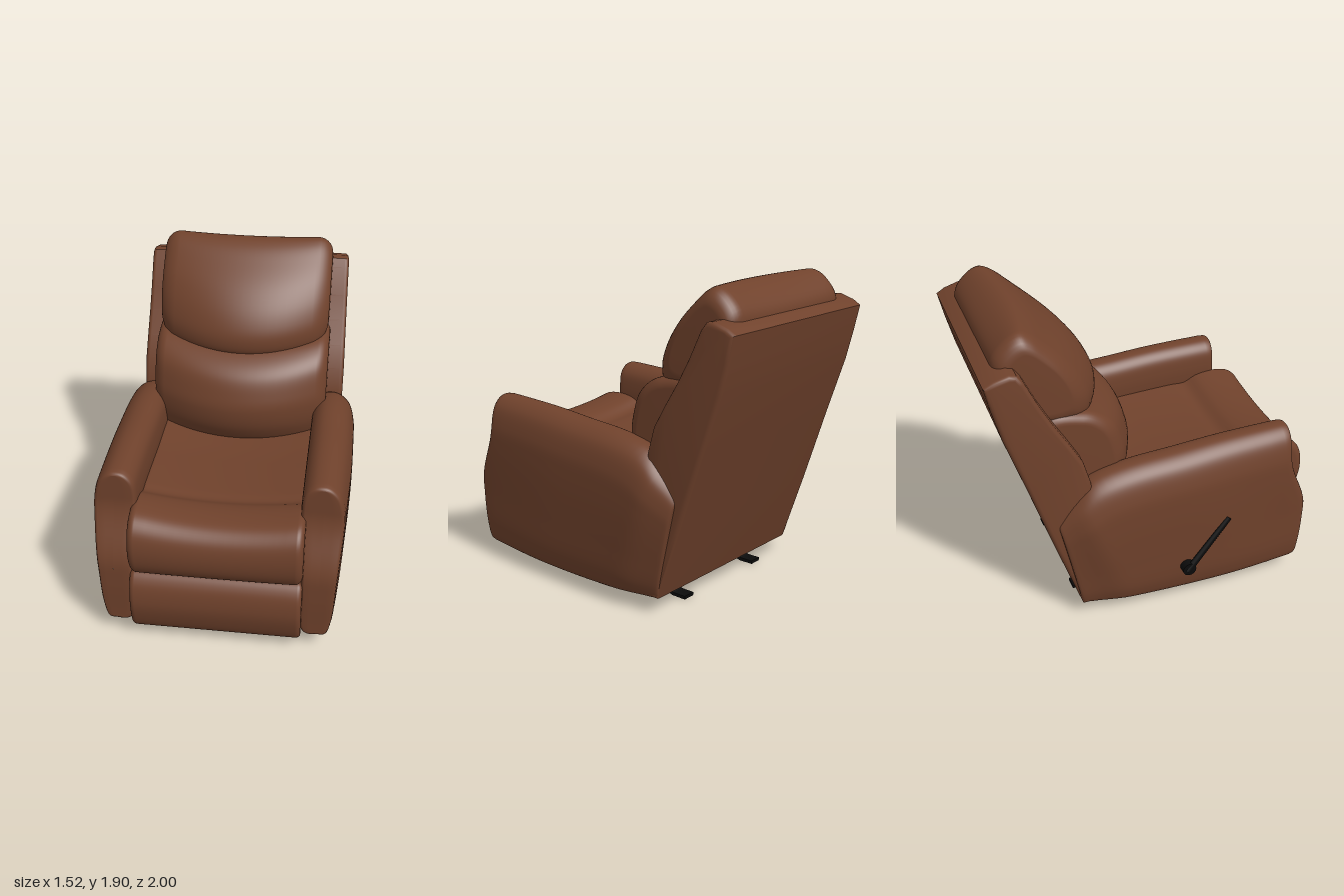
import * as THREE from 'three';
import { toCreasedNormals } from 'three/addons/utils/BufferGeometryUtils.js';

const CX = 0.015; // upholstery centre, the lever sticks out on one side

const spline = (pts, closed, n) =>
  new THREE.CatmullRomCurve3(pts.map(([a, b]) => new THREE.Vector3(a, b, 0)), closed, 'centripetal').getPoints(n);

// Closed skin through rings of points, ends capped unless already collapsed, faces turned outward
function loft(rings, capped = true) {
  const n = rings[0].length, pos = [], idx = [];
  rings.forEach(r => r.forEach(p => pos.push(p.x, p.y, p.z)));
  for (let i = 0; i < rings.length - 1; i++)
    for (let j = 0; j < n; j++) {
      const a = i * n + j, b = i * n + (j + 1) % n;
      idx.push(a, b, b + n, a, b + n, a + n);
    }
  if (capped) [0, rings.length - 1].forEach((k, end) => {
    const c = rings[k].reduce((s, p) => s.add(p), new THREE.Vector3()).divideScalar(n);
    const ci = pos.length / 3;
    pos.push(c.x, c.y, c.z);
    for (let j = 0; j < n; j++) {
      const a = k * n + j, b = k * n + (j + 1) % n;
      end ? idx.push(a, b, ci) : idx.push(b, a, ci);
    }
  });
  const v = i => new THREE.Vector3(pos[3 * i], pos[3 * i + 1], pos[3 * i + 2]);
  let volume = 0;
  for (let i = 0; i < idx.length; i += 3) volume += v(idx[i]).dot(v(idx[i + 1]).cross(v(idx[i + 2])));
  if (volume < 0) idx.reverse();
  const g = new THREE.BufferGeometry();
  g.setAttribute('position', new THREE.Float32BufferAttribute(pos, 3));
  g.setIndex(idx);
  g.computeVertexNormals();
  return g;
}

// Cushion: a (z, y) profile swept across x, bowed toward zBack at the sides
function cushion(profile, half, r, { bow = 0, zBack = 0, liftLow = 0, liftHigh = 0 }) {
  const pts = spline(profile, true, 72).slice(0, -1);
  const zs = pts.map(p => p.x), ys = pts.map(p => p.y);
  const z0 = Math.min(...zs), z1 = Math.max(...zs), y0 = Math.min(...ys), y1 = Math.max(...ys);
  const zm = (z0 + z1) / 2, ym = (y0 + y1) / 2;
  const stations = [];
  for (let i = 0; i <= 7; i++) {
    const a = (Math.PI / 2) * (1 - i / 7);
    stations.push([-(half - r + r * Math.sin(a)), r * (1 - Math.cos(a))]);
  }
  for (let i = 1; i < 16; i++) stations.push([(half - r) * (i / 8 - 1), 0]);
  for (let i = 7; i >= 0; i--) stations.push([-stations[i][0], stations[i][1]]);
  return loft(stations.map(([x, inset]) => {
    const u2 = (x / half) ** 2, sz = 1 - 2 * inset / (z1 - z0), sy = 1 - 2 * inset / (y1 - y0);
    return pts.map(p => {
      const z = zm + (p.x - zm) * sz, y = ym + (p.y - ym) * sy;
      const lift = THREE.MathUtils.lerp(liftLow, liftHigh, (p.y - y0) / (y1 - y0));
      return new THREE.Vector3(x + CX, y + lift * u2, zBack + (z - zBack) * (1 - bow * u2));
    });
  }));
}

// Arm: rounded (x, height) section running from the front to the back
function armGeometry(side) {
  const { smoothstep } = THREE.MathUtils;
  const section = spline([[0.5, 0.03], [0.49, 0.3], [0.485, 0.6], [0.468, 0.84], [0.485, 0.945], [0.54, 0.996],
    [0.622, 0.996], [0.695, 0.94], [0.735, 0.82], [0.742, 0.68], [0.728, 0.35], [0.705, 0.1], [0.67, 0.01],
    [0.6, 0], [0.53, 0]], true, 128).slice(0, -1);
  const top = new THREE.SplineCurve([[0.8, 1.09], [0.4, 1.075], [0.1, 1.05], [-0.2, 1.025], [-0.42, 0.972],
    [-0.54, 0.865], [-0.64, 0.74]].map(p => new THREE.Vector2(...p)));
  // Each station: position along the arm, height inset, width factor
  const ends = [[0, 0.03, 0], [0, 0.03, 0.45], [0, 0.028, 0.82], [0.004, 0.016, 0.91], [0.012, 0.006, 0.97], [0.03, 0, 1]];
  const stations = [...ends];
  for (let i = 1; i < 24; i++) stations.push([0.03 + 0.94 * i / 24, 0, 1]);
  [...ends].reverse().forEach(([t, d, w]) => stations.push([1 - t, d * 0.6, w]));
  return loft(stations.map(([t, inset, width]) => {
    const tp = top.getPoint(t), zb = 0.92 - 1.42 * t, yb = 0.1 - 0.027 * Math.sin(Math.PI * t);
    return section.map(p => {
      const v = 0.5 + (p.y - 0.5) * (1 - 1.4 * inset);
      let x = 0.595 + (p.x - 0.595) * width;
      // Outer side narrows toward the front, most of all low down, and toward the back
      const frontWidth = 0.7 + 0.14 * smoothstep(v, 0.35, 0.85);
      const outer = t < 0.4 ? frontWidth + (1 - frontWidth) * Math.sin(t / 0.4 * Math.PI / 2)
        : 1 - 0.42 * smoothstep(t, 0.78, 1);
      if (x > 0.595) x = 0.595 + (x - 0.595) * outer;
      // S-shaped front: upright above, stepping forward below
      const front = 0.805 + 0.125 * (1 - smoothstep(v, 0.4, 0.82)) - 0.01 * (1 - smoothstep(v, 0, 0.3));
      const step = (front - (0.92 - 0.12 * v)) * Math.max(0, 1 - 4 * t);
      return new THREE.Vector3(CX + side * x, yb + (tp.y - yb) * v, zb + (tp.x - zb) * v + step);
    });
  }), false);
}

// Bevelled extrusion of a (z, y) outline across x, optionally widening toward the front
function slab(outline, width, bevel, flare = 0) {
  const shape = new THREE.Shape(outline.map(p => new THREE.Vector2(...p)));
  const g = new THREE.ExtrudeGeometry(shape, { depth: width - 2 * bevel, bevelEnabled: bevel > 0,
    bevelThickness: bevel, bevelSize: bevel, bevelOffset: -bevel, bevelSegments: 4 });
  g.translate(0, 0, bevel - width / 2).rotateY(-Math.PI / 2);
  const p = g.attributes.position;
  for (let i = 0; i < p.count; i++)
    p.setX(i, p.getX(i) * (1 + flare * THREE.MathUtils.clamp(p.getZ(i) + 1, 0, 0.5)));
  return toCreasedNormals(g, 0.7);
}

export function createModel() {
  const leather = new THREE.MeshStandardMaterial({ color: 0x70422c });
  leather.name = 'brown leather';
  const metal = new THREE.MeshStandardMaterial({ color: 0x0b0b0b });
  metal.name = 'black metal';
  const model = new THREE.Group();
  model.name = 'recliner';
  const add = (name, geometry, material, x = 0, y = 0, z = 0) => {
    const m = new THREE.Mesh(geometry, material);
    m.name = name;
    m.position.set(x, y, z);
    model.add(m);
    return m;
  };

  // Arms
  add('leftArm', armGeometry(1), leather);
  add('rightArm', armGeometry(-1), leather);

  // Back shell with side wings
  add('backShell', slab([[-0.5, 0.1], [-0.652, 0.545], [-0.8, 1.0], [-0.918, 1.35], [-0.965, 1.53], [-1, 1.685],
    [-0.95, 1.715], [-0.86, 1.742], [-0.82, 1.735], [-0.785, 1.69], [-0.71, 1.53], [-0.635, 1.39], [-0.55, 1.25],
    [-0.475, 1.12], [-0.435, 0.98], [-0.4, 0.75], [-0.42, 0.1]], 1.262, 0.025, 0.06), leather, CX);

  // Back cushions
  add('headCushion', cushion([[-0.255, 1.305], [-0.238, 1.4], [-0.285, 1.525], [-0.39, 1.665], [-0.53, 1.79],
    [-0.64, 1.87], [-0.72, 1.895], [-0.82, 1.855], [-0.915, 1.75], [-0.9, 1.6], [-0.75, 1.33], [-0.5, 1.27],
    [-0.33, 1.275]], 0.535, 0.1, { bow: 0.29, zBack: -0.92, liftLow: 0.045 }), leather);
  add('lumbarCushion', cushion([[-0.04, 1.0], [-0.06, 1.1], [-0.11, 1.21], [-0.2, 1.285], [-0.34, 1.335],
    [-0.65, 1.32], [-0.6, 0.68], [-0.2, 0.69], [-0.07, 0.85]], 0.548, 0.07,
    { bow: 0.25, zBack: -0.75, liftHigh: 0.04 }), leather);

  // Seat with front roll, dropping behind a soft crease
  add('seatCushion', cushion([[0.92, 0.485], [0.98, 0.55], [1, 0.66], [0.975, 0.765], [0.91, 0.825], [0.8, 0.843],
    [0.68, 0.83], [0.59, 0.79], [0.5, 0.79], [0.1, 0.77], [-0.4, 0.73], [-0.4, 0.55], [0.4, 0.5]],
    0.5, 0.045, { liftHigh: 0.05 }), leather);

  // Closed footrest panel and underside
  add('footrest', cushion([[0.92, 0.49], [0.975, 0.43], [1, 0.31], [0.985, 0.2], [0.945, 0.1], [0.9, 0.067],
    [0.85, 0.11], [0.83, 0.3], [0.85, 0.47]], 0.5, 0.03, {}), leather);
  add('seatBase', new THREE.BoxGeometry(1, 0.4, 1.3), leather, CX, 0.4, 0.2);

  // Base frame: two rails with bent feet, joined by cross bars
  const foot = [[0, 0], [0.085, 0], [0.112, 0.015], [0.13, 0.05], [0.14, 0.1], [0.165, 0.1], [0.15, 0.04],
    [0.125, -0.01], [0.095, -0.02], [0, -0.02]];
  for (const side of [1, -1]) {
    const x = CX + side * 0.338;
    add('baseRail', new THREE.BoxGeometry(0.05, 0.04, 0.96), metal, x, 0.11, 0.1);
    add('frontFoot', slab(foot.map(([a, b]) => [0.71 - a, 0.02 + b]).reverse(), 0.08, 0), metal, x);
    add('rearFoot', slab(foot.map(([a, b]) => [-0.49 + a, 0.02 + b]), 0.08, 0), metal, x);
  }
  for (const z of [0.5, -0.28])
    add('crossBar', new THREE.BoxGeometry(0.68, 0.025, 0.025), metal, CX, 0.12, z);

  // Reclining lever on the right side
  const knob = add('leverPivot', new THREE.CylinderGeometry(0.042, 0.042, 0.08, 24), metal, -0.715, 0.285, 0.135);
  knob.rotation.z = Math.PI / 2;
  const a = new THREE.Vector3(-0.745, 0.27, 0.125), b = new THREE.Vector3(-0.716, 0.585, 0.395);
  const lever = add('lever', new THREE.CylinderGeometry(0.018, 0.024, a.distanceTo(b), 12), metal);
  lever.scale.x = 0.7;
  lever.position.copy(a).add(b).multiplyScalar(0.5);
  lever.quaternion.setFromUnitVectors(new THREE.Vector3(0, 1, 0), b.sub(a).normalize());
  return model;
}
